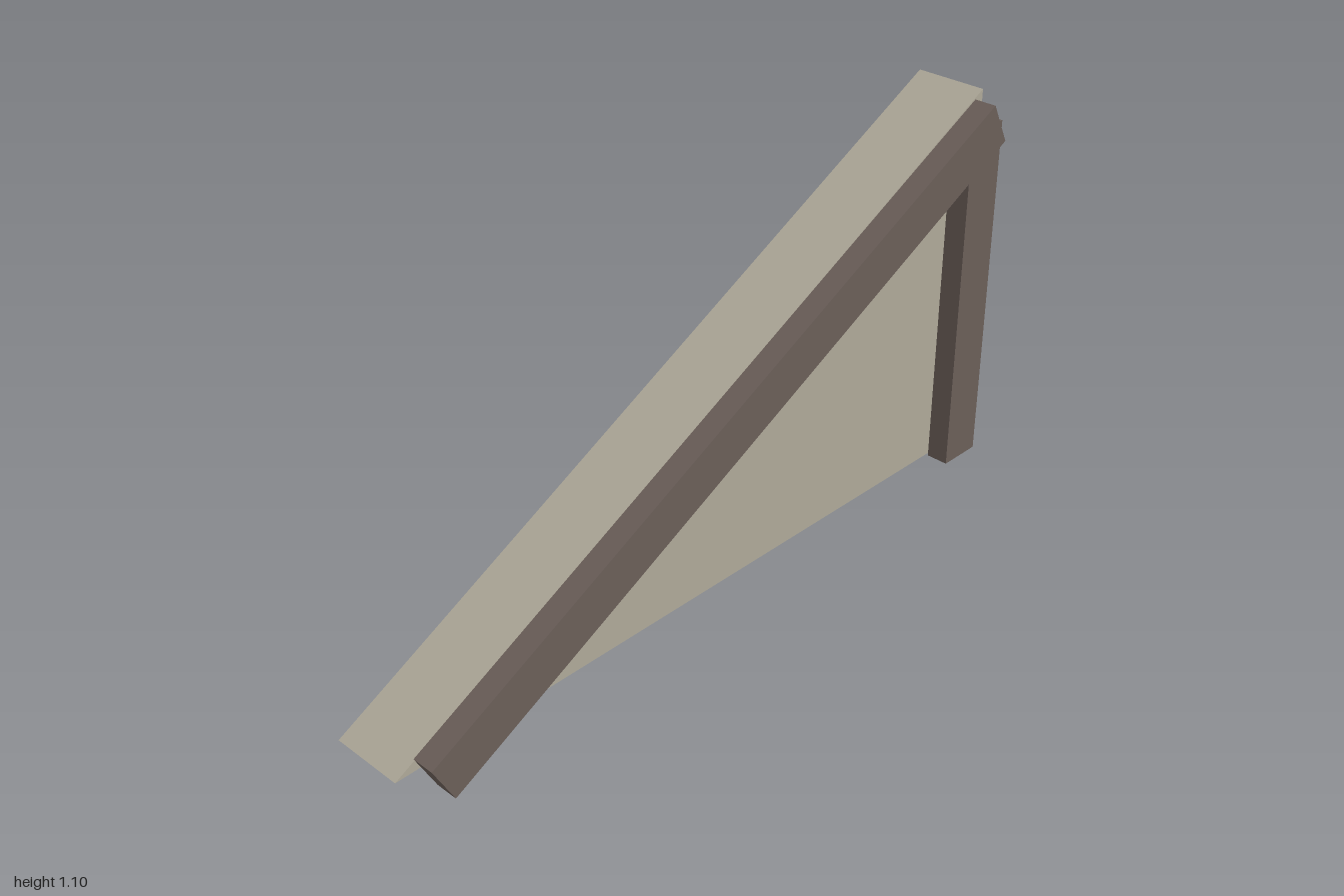
import * as THREE from 'three';

export function createModel() {
  const group = new THREE.Group();
  const plaster = new THREE.MeshStandardMaterial({ color: 0xb0aa9a, name: 'plaster' });
  const timber = new THREE.MeshStandardMaterial({ color: 0x6b5f59, name: 'timber' });

  // Triangular wall panel
  const outline = new THREE.Shape([
    new THREE.Vector2(-1, 0.073),
    new THREE.Vector2(0.975, 0.073),
    new THREE.Vector2(0.975, 1.105),
  ]);
  const wallGeometry = new THREE.ExtrudeGeometry(outline, { depth: 0.201, bevelEnabled: false });
  wallGeometry.translate(0, 0, -0.134);
  const wall = new THREE.Mesh(wallGeometry, plaster);
  wall.name = 'gableWall';
  group.add(wall);

  // Timber beams just in front of the wall
  const beam = (name, length, width, x, y, angle) => {
    const mesh = new THREE.Mesh(new THREE.BoxGeometry(length, width, 0.062), timber);
    mesh.name = name;
    mesh.position.set(x, y, 0.103);
    mesh.rotation.z = angle;
    group.add(mesh);
  };
  beam('slopedRafter', 2.126, 0.125, 0.023, 0.545, 0.477);
  beam('uprightPost', 0.97, 0.123, 0.9125, 0.555, Math.PI / 2);

  return group;
}
